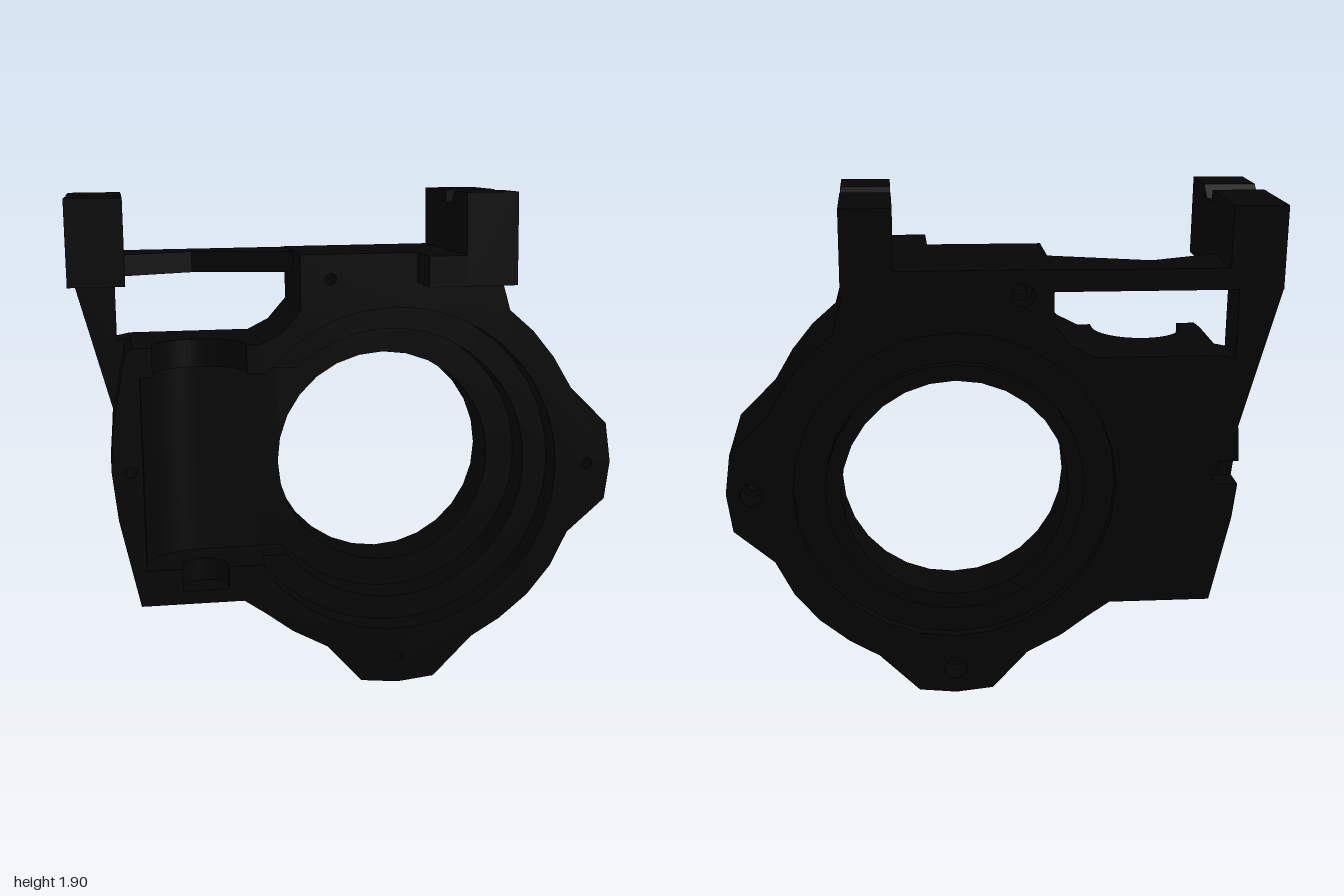
import * as THREE from 'three';

const black = new THREE.MeshStandardMaterial({ color: 0x050505 });
black.name = 'black casting';

const CX = 0.17, CY = 0.828;               // main bore centre
const SPLIT = -0.33;                       // plane between bore body and worm pocket
const POCKET_LOW = 0.495, POCKET_TOP = 1.215;

const shapeOf = pts => new THREE.Shape(pts.map(([x, y]) => new THREE.Vector2(x, y)));
const circle = (x, y, r) => new THREE.Path().absarc(x, y, r, 0, Math.PI * 2, false);

function extrude(shape, depth) {
  return new THREE.ExtrudeGeometry(shape, { depth, bevelEnabled: false, curveSegments: 14 });
}

export function createModel() {
  const root = new THREE.Group();
  root.name = 'gearHousing';

  const add = (name, geo) => {
    const mesh = new THREE.Mesh(geo, black);
    mesh.name = name;
    root.add(mesh);
  };
  // layer in the front plane, running from depth z0 to z1
  const layer = (name, shape, z0, z1) => add(name, extrude(shape, z1 - z0).translate(0, 0, z0));
  // plan shape (x, -z) raised from y0 to y1
  const upright = (name, shape, y0, y1) =>
    add(name, extrude(shape, y1 - y0).rotateX(-Math.PI / 2).translate(0, y0, 0));
  // side profile (z, y) running from x0 to x1
  const sideways = (name, shape, x0, x1) =>
    add(name, extrude(shape, x1 - x0).rotateY(-Math.PI / 2).translate(x1, 0, 0));

  // outline of the bore body, clockwise from the pocket's upper corner
  const bodyOutline = [
    [SPLIT, 1.32], [-0.25, 1.36], [-0.18, 1.44], [-0.18, 1.64], [0.57, 1.64], [0.57, 1.53],
    [0.6, 1.42], [0.69, 1.34], [0.77, 1.24], [0.84, 1.12], [0.98, 0.98], [1.0, 0.83], [0.98, 0.685],
    [0.835, 0.56], [0.77, 0.43], [0.68, 0.32], [0.57, 0.23], [0.46, 0.165], [0.31, 0.015],
    [0.17, 0], [0.03, 0.015], [-0.1, 0.16], [-0.23, 0.23], [SPLIT, 0.305],
  ];
  const lowerLeft = [[-0.41, 0.36], [-0.79, 0.36], [-0.86, 0.69]];
  const upperLeft = [[-0.865, 1.05], [-0.815, 1.3], [-0.79, 1.32]];
  const sideNotch = [[-0.875, 0.825], [-0.8, 0.825], [-0.765, 0.87], [-0.8, 0.915], [-0.875, 0.915]];
  const screws = [[0.91, 0.825], [0.17, 0.102], [-0.07, 1.55]];
  const leftScrew = [-0.81, 0.868];

  const withHoles = (shape, bore, screwR) => {
    if (bore) shape.holes.push(circle(CX, CY, bore));
    screws.forEach(([x, y]) => shape.holes.push(circle(x, y, screwR)));
    return shape;
  };

  // back plate, with a ring groove around the bore and countersunk screw holes
  const notched = [...bodyOutline, ...lowerLeft, ...sideNotch, ...upperLeft];
  layer('backRim', withHoles(shapeOf(notched), 0.59, 0.042), 0, 0.04);
  const lip = new THREE.Shape().absarc(CX, CY, 0.475, 0, Math.PI * 2, false);
  lip.holes.push(circle(CX, CY, 0.415));
  layer('boreLip', lip, 0, 0.04);
  layer('backPlate', withHoles(shapeOf(notched), 0.415, 0.042), 0.04, 0.1);
  const web = withHoles(shapeOf([...bodyOutline, ...lowerLeft, [-0.88, 0.88], ...upperLeft]), 0.415, 0.021);
  web.holes.push(circle(...leftScrew, 0.021));
  layer('middlePlate', web, 0.1, 0.21);

  // gear chamber and wider front step, open to the worm pocket over its height
  const openRing = r => {
    const edge = Math.acos((SPLIT - CX) / r);
    const low = Math.min(edge, Math.PI - Math.asin((CY - POCKET_LOW) / r));
    const top = Math.min(edge, Math.PI - Math.asin((POCKET_TOP - CY) / r));
    const s = shapeOf(bodyOutline);
    s.lineTo(SPLIT, CY - r * Math.sin(low));
    s.absarc(CX, CY, r, -low, top, false);
    s.lineTo(SPLIT, CY + r * Math.sin(top));
    return withHoles(s, 0, 0.021);
  };
  layer('gearChamber', openRing(0.523), 0.21, 0.36);
  layer('frontStep', openRing(0.615), 0.36, 0.48);

  // outer wall and floor of the worm pocket
  const wall = shapeOf([
    [-0.77, 1.32], ...[...upperLeft].reverse(), [-0.88, 0.88], ...[...lowerLeft].reverse(),
    [SPLIT, 0.305], [SPLIT, 0.41], [-0.77, 0.41],
  ]);
  wall.holes.push(circle(...leftScrew, 0.021));
  layer('pocketWall', wall, 0.2, 0.48);

  // shaft seats: half-round channels, open to the front
  const AX = -0.55, AZ = -0.43;
  const seat = r => {
    const s = shapeOf([[SPLIT, -0.2], [-0.77, -0.2], [-0.77, -0.48], [AX - r, -0.48], [AX - r, AZ]]);
    s.absarc(AX, AZ, r, Math.PI, 0, true);
    s.lineTo(AX + r, -0.48);
    s.lineTo(SPLIT, -0.48);
    return s;
  };
  upright('lowerShaftSeat', seat(0.085), 0.41, POCKET_LOW);
  upright('upperBearingSeat', seat(0.17), POCKET_TOP, 1.32);

  // worm trough: rounded on the outer side, running flat into the gear chamber
  const trough = shapeOf([[SPLIT, -0.2], [-0.77, -0.2], [-0.77, -0.48], [-0.766, -0.48], [-0.766, AZ]]);
  trough.absarc(AX, AZ, 0.216, Math.PI, Math.PI / 2, true);
  trough.lineTo(SPLIT, AZ + 0.216);
  upright('wormTrough', trough, POCKET_LOW, POCKET_TOP);

  // cross bar over the opening, with a pointed recess in front
  upright('crossBar', shapeOf([[-0.84, 0], [-0.84, -0.256], [-0.8, -0.256], [-0.55, -0.15],
    [-0.18, -0.256], [-0.18, 0]]), 1.56, 1.638);
  // slanted strut up to the outer mount
  layer('strut', shapeOf([[-1, 1.565], [-0.865, 1.05], [-0.79, 1.05], [-0.79, 1.32], [-0.84, 1.31],
    [-0.84, 1.58], [-1, 1.58]]), 0, 0.17);

  // mounting blocks with a notch in the top
  const mount = bottom => shapeOf([[0, bottom], [0.68, bottom], [0.68, 1.858], [0.49, 1.858],
    [0.43, 1.813], [0.35, 1.813], [0.35, 1.858], [0, 1.858]]);
  sideways('rightMount', mount(1.56), -1, -0.805);
  sideways('leftMount', mount(1.531), 0.385, 0.57);
  const step = [[0.47, 1.531], [0.68, 1.531], [0.68, 1.64], [0.47, 1.64]];
  sideways('mountStep', shapeOf(step), 0.25, 0.386);

  // the whole housing leans slightly back
  root.rotation.x = -0.0646;
  root.position.z = -0.23;
  const model = new THREE.Group();
  model.name = 'housing';
  model.add(root);
  return model;
}
